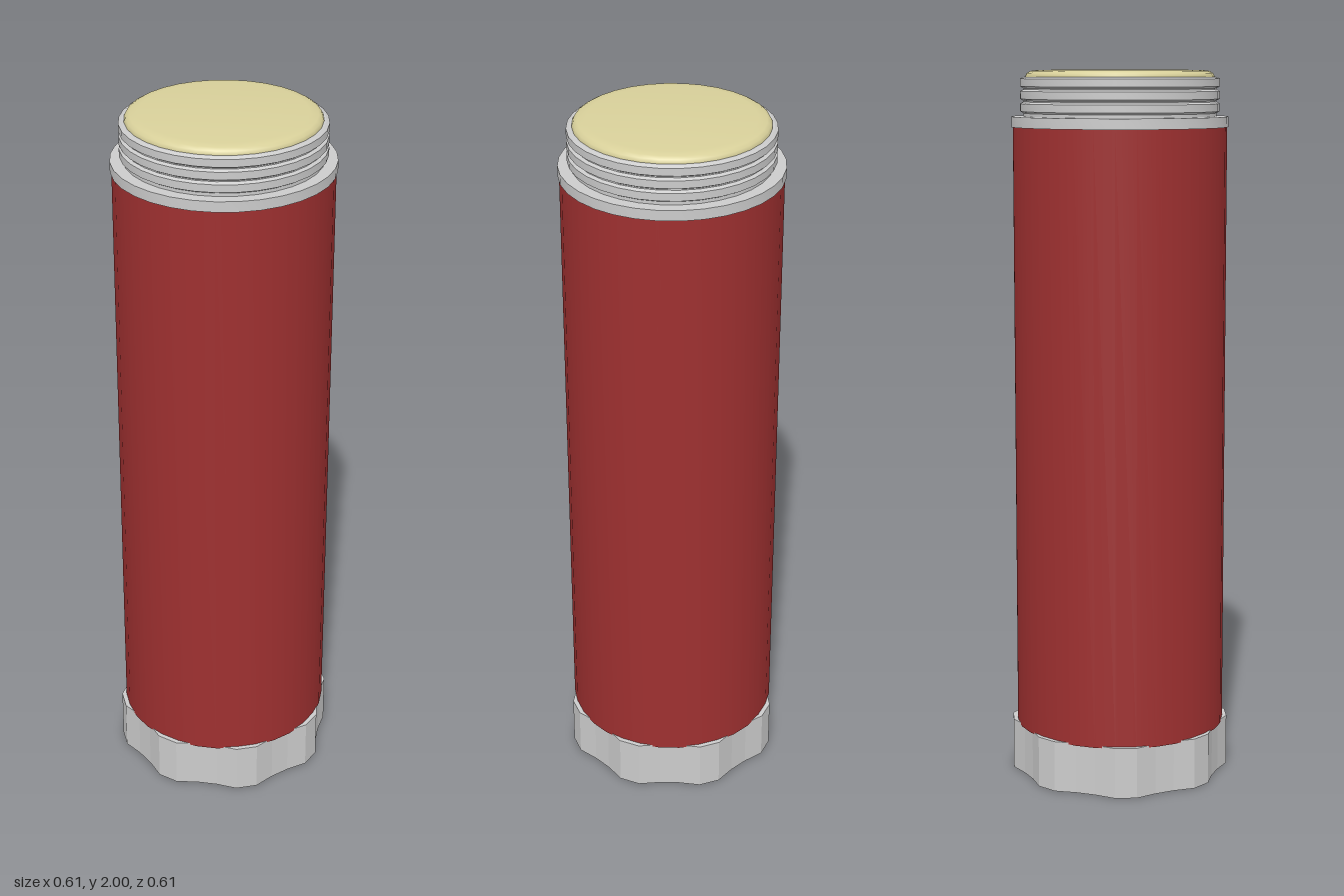
import * as THREE from 'three';
import { toCreasedNormals } from 'three/addons/utils/BufferGeometryUtils.js';

const SEGMENTS = 32;

function createPart(name, geometry, color) {
  const mesh = new THREE.Mesh(geometry, new THREE.MeshStandardMaterial({ color }));
  mesh.name = name;
  return mesh;
}

// Turned part from [radius, height] pairs, bottom to top, with sharp edges kept
function turned(profile, crease = 0.5) {
  const points = profile.map(([r, y]) => new THREE.Vector2(r, y));
  return toCreasedNormals(new THREE.LatheGeometry(points, SEGMENTS), crease);
}

// Base cap: eight grip lobes, each two raised corners followed by two lower ones
function lobedCap(height) {
  const outline = [];
  for (let i = 0; i < SEGMENTS; i++) {
    const r = i % 4 >= 2 ? 0.311 : 0.291;
    const a = (i / SEGMENTS) * Math.PI * 2;
    outline.push(new THREE.Vector2(r * Math.cos(a), r * Math.sin(a)));
  }
  const geometry = new THREE.ExtrudeGeometry(new THREE.Shape(outline), { depth: height, bevelEnabled: false });
  return geometry.rotateX(Math.PI / 2).translate(0, height, 0);
}

export function createModel() {
  const group = new THREE.Group();
  group.name = 'canister';

  group.add(createPart('baseCap', lobedCap(0.145), 0xcccccc));

  // Tube body
  group.add(createPart('body', turned([[0, 0.14], [0.298, 0.14], [0.298, 1.845], [0, 1.845]]), 0x9e3030));

  // Collar at the top of the body
  group.add(createPart('collar', turned([[0, 1.843], [0.302, 1.843], [0.302, 1.872], [0, 1.872]]), 0xcccccc));

  // Neck with raised thread ridges
  const neck = [[0.268, 1.87]];
  for (const y of [1.881, 1.915, 1.949]) {
    neck.push([0.268, y], [0.277, y + 0.005], [0.277, y + 0.026], [0.268, y + 0.031]);
  }
  neck.push([0.268, 1.98], [0, 1.98]);
  group.add(createPart('threadedNeck', turned(neck), 0xcccccc));

  // Lid insert with a rounded rim
  group.add(createPart('topSeal', turned([
    [0.262, 1.975], [0.262, 1.982], [0.258, 1.99], [0.248, 1.996], [0.225, 1.999], [0, 2],
  ], 1), 0xd8d09a));

  return group;
}
